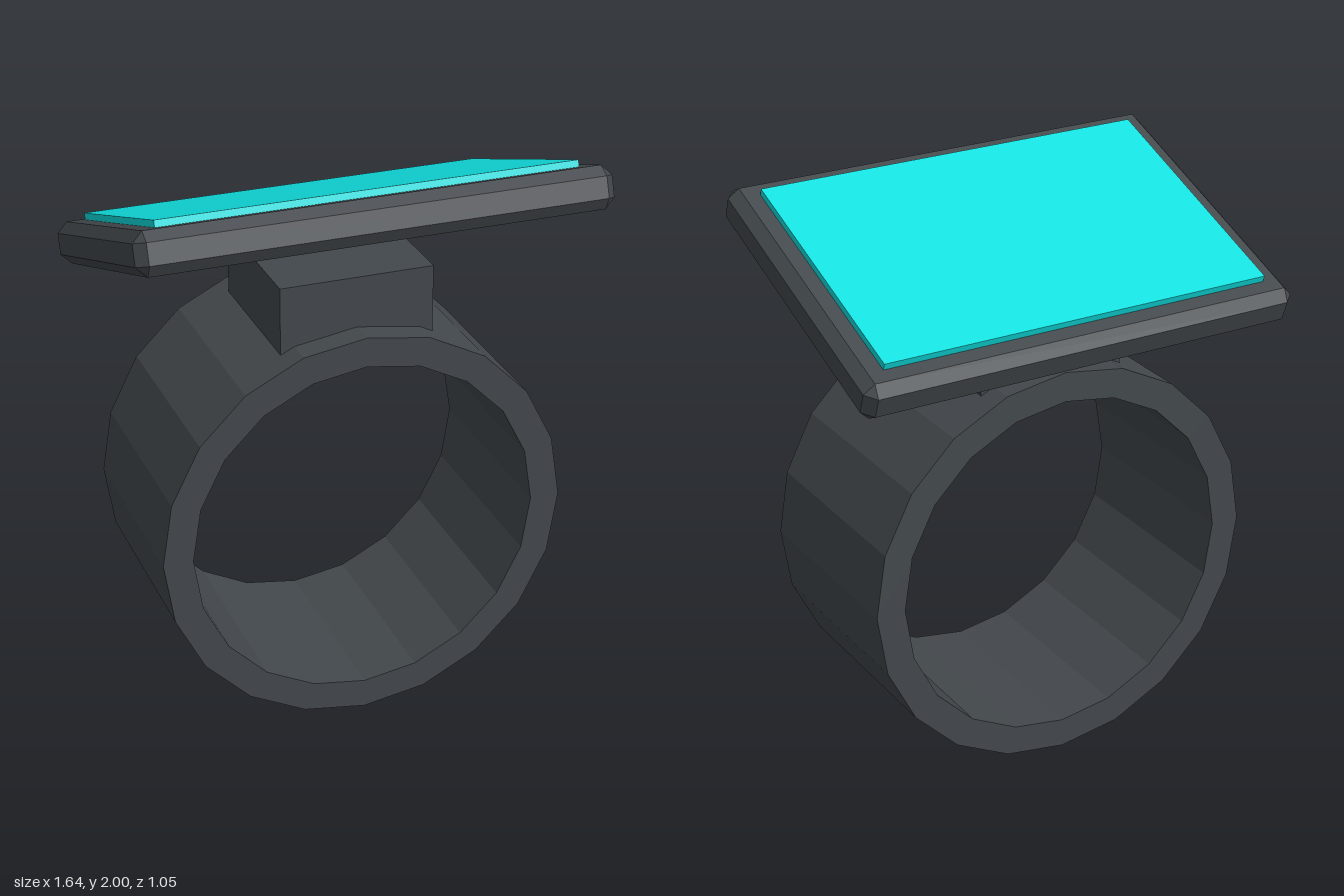
import * as THREE from 'three';
import { ConvexGeometry } from 'three/addons/geometries/ConvexGeometry.js';

const casing = new THREE.MeshStandardMaterial({ color: 0x43484c });
casing.name = 'dark grey casing';
const glow = new THREE.MeshStandardMaterial({ color: 0x10e0e0 });
glow.name = 'cyan screen';

function mesh(name, geometry, material, parent) {
  const m = new THREE.Mesh(geometry, material);
  m.name = name;
  parent.add(m);
  return m;
}

// points of a regular polygon with a corner at the top
function polygon(radius, sides) {
  return Array.from({ length: sides }, (_, i) => {
    const a = Math.PI / 2 + (i / sides) * Math.PI * 2;
    return new THREE.Vector2(Math.cos(a) * radius, Math.sin(a) * radius);
  });
}

// box with every edge and corner cut by c; hx, hy, hz are half sizes
function chamferedBox(hx, hy, hz, c) {
  const points = [];
  for (const x of [-1, 1]) for (const y of [-1, 1]) for (const z of [-1, 1]) {
    points.push(
      new THREE.Vector3(x * hx, y * (hy - c), z * (hz - c)),
      new THREE.Vector3(x * (hx - c), y * hy, z * (hz - c)),
      new THREE.Vector3(x * (hx - c), y * (hy - c), z * hz));
  }
  return new ConvexGeometry(points);
}

export function createModel() {
  const model = new THREE.Group();
  model.name = 'wristScreen';

  // twenty-sided wrist band
  const ring = new THREE.Shape(polygon(0.727, 20));
  ring.holes.push(new THREE.Path(polygon(0.621, 20).reverse()));
  const bandGeometry = new THREE.ExtrudeGeometry(ring, { depth: 0.73, bevelEnabled: false });
  bandGeometry.translate(0, 0.732, -0.365);
  mesh('band', bandGeometry, casing, model);

  // block joining the band to the display
  mesh('mount', new THREE.BoxGeometry(0.544, 0.24, 0.544), casing, model).position.y = 1.52;

  // tilted display: chamfered case with a raised screen
  const display = new THREE.Group();
  display.name = 'display';
  display.position.y = 1.753;
  display.rotation.x = -THREE.MathUtils.degToRad(20);
  model.add(display);
  mesh('displayCase', chamferedBox(0.818, 0.073, 0.543, 0.036), casing, display);
  mesh('screen', new THREE.BoxGeometry(1.454, 0.04, 0.912), glow, display).position.y = 0.077;

  return model;
}
